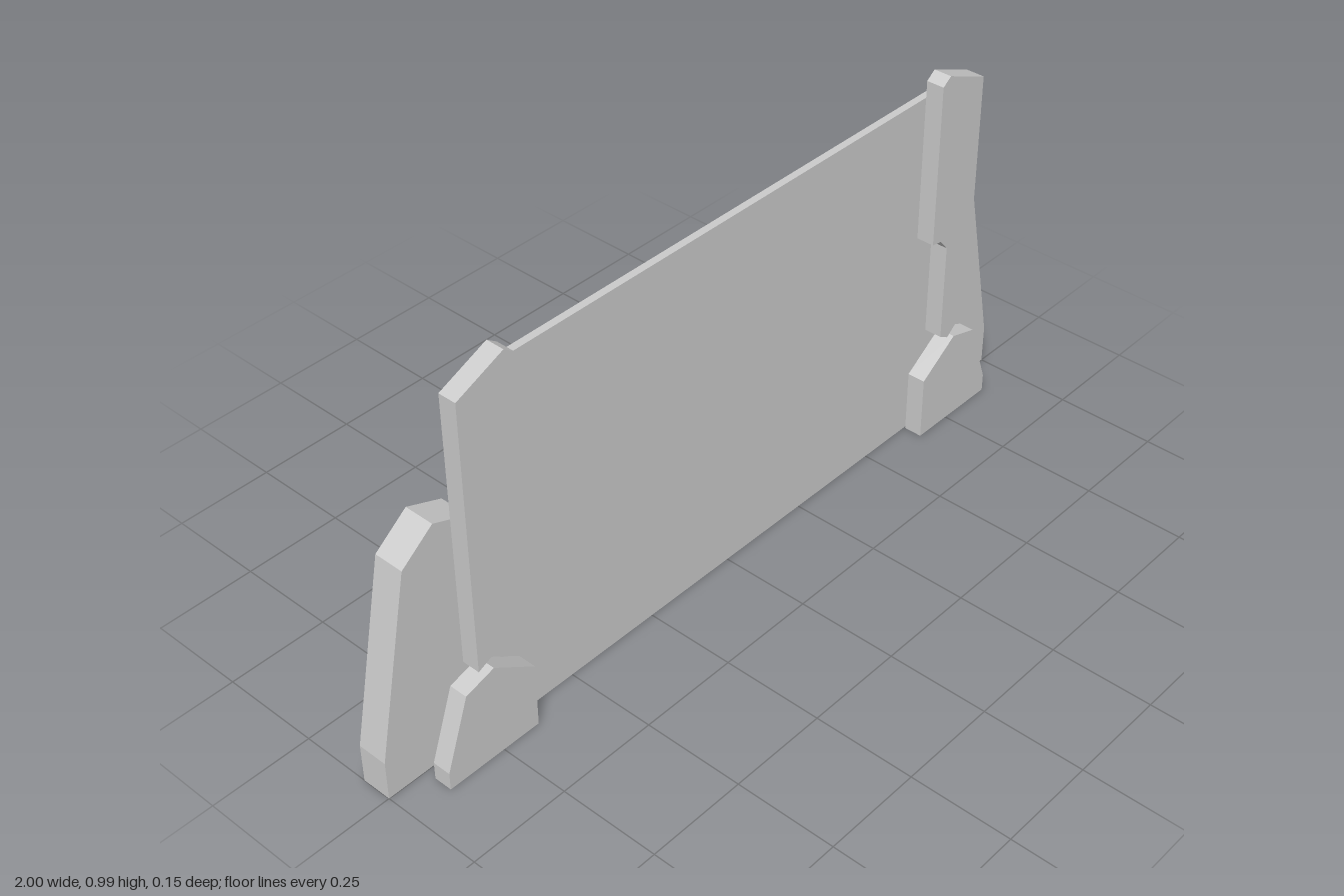
import * as THREE from 'three';

const material = new THREE.MeshStandardMaterial({ color: 0xcccccc, flatShading: true });

// Extrude an outline between two depths; side -1 mirrors it to the right
function plate(name, outline, side, zBack, zFront) {
  const shape = new THREE.Shape(outline.map(([x, y]) => new THREE.Vector2(x * side, y)));
  const geometry = new THREE.ExtrudeGeometry(shape, { depth: zFront - zBack, bevelEnabled: false });
  geometry.translate(0, 0, zBack);
  const mesh = new THREE.Mesh(geometry, material);
  mesh.name = name;
  return mesh;
}

// Outlines for the left side (+x)
const post = [
  [0.65, 0.555], [0.68, 0.55], [0.705, 0.52], [0.705, 0.267], [0.733, 0.251],
  [0.762, 0.274], [0.8, 0.257], [0.8, 0.932], [0.675, 0.985], [0.65, 0.967],
];
const foot = [[0.65, 0], [0.9, 0], [0.9, 0.045], [0.838, 0.217], [0.76, 0.24], [0.65, 0.165]];
const buttress = [[0.73, 0], [1, 0], [1, 0.1], [0.905, 0.55], [0.82, 0.615], [0.73, 0.58]];

export function createModel() {
  const model = new THREE.Group();
  model.name = 'barrier';

  // Thin central wall
  const panel = new THREE.Mesh(new THREE.BoxGeometry(1.5, 0.92, 0.018), material);
  panel.position.set(0, 0.46, 0.016);
  panel.name = 'panel';
  model.add(panel);

  // Mirrored supports in front of and behind the wall
  for (const side of [1, -1]) {
    const label = side > 0 ? 'left' : 'right';
    model.add(
      plate(label + 'Post', post, side, 0.03, 0.075),
      plate(label + 'Foot', foot, side, 0.029, 0.075),
      plate(label + 'Buttress', buttress, side, -0.075, 0),
    );
  }
  return model;
}
